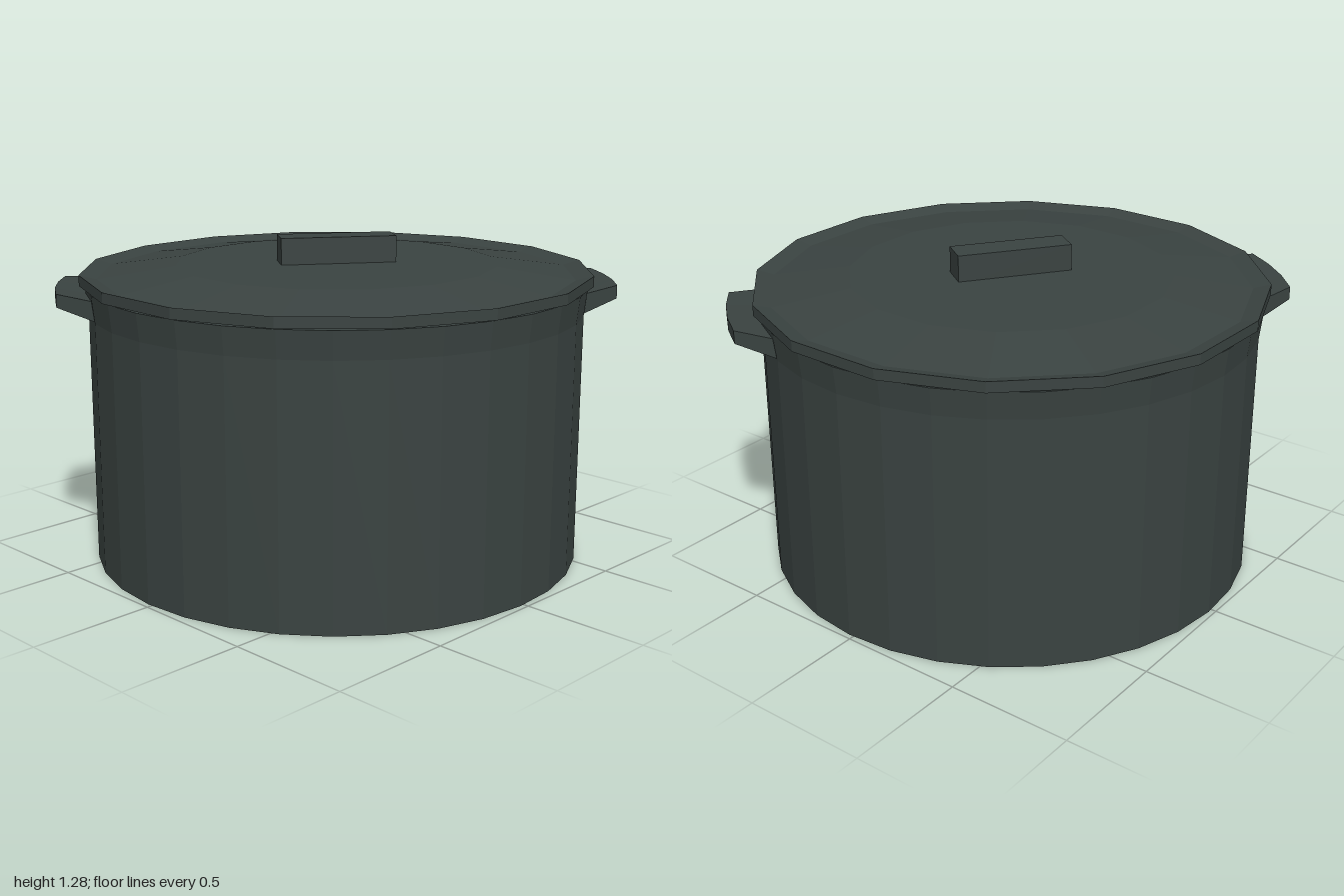
import * as THREE from 'three';

const castIron = new THREE.MeshStandardMaterial({ color: 0x3a4341 });
castIron.name = 'castIron';

// Faceted mesh
function flatMesh(geometry, name) {
  const g = geometry.index ? geometry.toNonIndexed() : geometry;
  g.computeVertexNormals();
  const mesh = new THREE.Mesh(g, castIron);
  mesh.name = name;
  return mesh;
}

// Turned part; the facets are rotated a little about the axis
function turned(profile, sides, name) {
  const points = profile.map(([r, y]) => new THREE.Vector2(r, y));
  const start = THREE.MathUtils.degToRad(10.1);
  return flatMesh(new THREE.LatheGeometry(points, sides, start), name);
}

// Side grip: fan of cross-sections, wide at the wall and tapering outward
function sideHandle(name) {
  const sections = 4, pos = [], index = [];
  for (let i = 0; i < sections; i++) {
    const t = (i / (sections - 1)) * 2 - 1;
    const corners = [[0.965, 1.0, 17], [1.107, 1.05, 10.7], [1.107, 1.102, 10.7], [0.965, 1.08, 17]];
    for (const [r, y, halfAngle] of corners) {
      const a = THREE.MathUtils.degToRad(halfAngle * t);
      pos.push(r * Math.cos(a), y, r * Math.sin(a));
    }
  }
  for (let i = 0; i < sections - 1; i++) {
    for (let j = 0; j < 4; j++) {
      const a = i * 4 + j, b = i * 4 + ((j + 1) % 4);
      index.push(a, b, b + 4, a, b + 4, a + 4);
    }
  }
  const e = (sections - 1) * 4;
  index.push(0, 2, 1, 0, 3, 2, e, e + 1, e + 2, e, e + 2, e + 3);
  // wind every face outward
  for (let k = 0; k < index.length; k += 3) {
    [index[k + 1], index[k + 2]] = [index[k + 2], index[k + 1]];
  }
  const g = new THREE.BufferGeometry();
  g.setAttribute('position', new THREE.Float32BufferAttribute(pos, 3));
  g.setIndex(orient(pos, index));
  return flatMesh(g, name);
}

// Flip any triangle that faces the middle of the part
function orient(pos, index) {
  const v = (i) => new THREE.Vector3().fromArray(pos, i * 3);
  const centre = new THREE.Vector3(1.04, 1.055, 0);
  const out = [];
  for (let k = 0; k < index.length; k += 3) {
    const [a, b, c] = index.slice(k, k + 3);
    const normal = v(b).sub(v(a)).cross(v(c).sub(v(a)));
    const outward = normal.dot(v(a).add(v(b)).add(v(c)).divideScalar(3).sub(centre)) > 0;
    out.push(a, ...(outward ? [b, c] : [c, b]));
  }
  return out;
}

export function createModel() {
  const model = new THREE.Group();
  model.name = 'cookingPot';

  // Hollow pot with a flared rim
  model.add(turned([
    [0, 0], [0.98, 0], [0.98, 1.0], [0.992, 1.107],
    [0.93, 1.107], [0.92, 1.0], [0.92, 0.06], [0, 0.06],
  ], 32, 'potBody'));

  // Lid with a raised centre and a shallow groove inside its edge
  model.add(turned([
    [0, 1.113], [1.014, 1.113], [1.014, 1.155], [0.945, 1.137], [0.64, 1.18], [0, 1.18],
  ], 16, 'lid'));

  // Bar grip on the lid
  const grip = flatMesh(new THREE.BoxGeometry(0.46, 0.125, 0.122), 'lidGrip');
  grip.position.y = 1.2225;
  grip.rotation.y = THREE.MathUtils.degToRad(54.8);
  model.add(grip);

  // Opposite side handles
  ['backHandle', 'frontHandle'].forEach((name, i) => {
    const handle = sideHandle(name);
    handle.rotation.y = THREE.MathUtils.degToRad(49.6) + i * Math.PI;
    model.add(handle);
  });

  return model;
}
